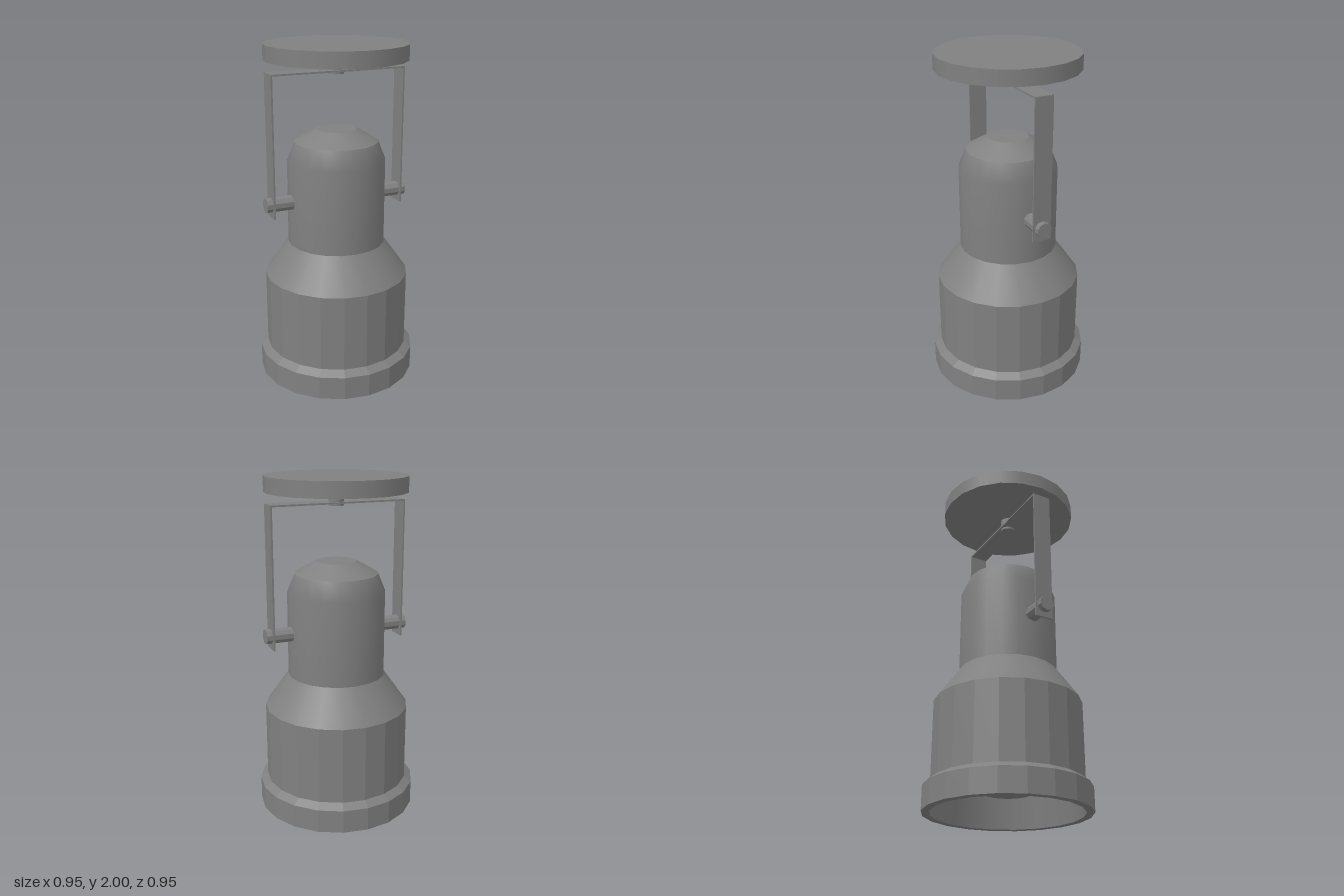
import * as THREE from 'three';

const SIDES = 20;
const flat = new THREE.MeshStandardMaterial({ color: 0x808080, flatShading: true });
const smooth = new THREE.MeshStandardMaterial({ color: 0x808080 });

export function createModel() {
  const model = new THREE.Group();
  model.name = 'ceilingSpotlight';

  const add = (name, geometry, material, x = 0, y = 0, z = 0) => {
    const mesh = new THREE.Mesh(geometry, material);
    mesh.name = name;
    mesh.position.set(x, y, z);
    model.add(mesh);
    return mesh;
  };
  // Profiles run upward on outer walls, so faces point outward
  const lathe = (points) =>
    new THREE.LatheGeometry(points.map(([r, y]) => new THREE.Vector2(r, y)), SIDES);

  // Faceted rim, collar and barrel, with smooth inner wall and shoulder
  add('shadeInnerWall', lathe([[0.4, 0.24], [0.43, 0]]), smooth);
  add('shade', lathe([
    [0.43, 0], [0.475, 0], [0.475, 0.14], [0.432, 0.172], [0.432, 0.63],
  ]), flat);
  add('shoulder', lathe([[0.432, 0.63], [0.29, 0.83]]), smooth);

  // Shallow lens bulging down inside the shade
  add('lens', lathe([[0, 0.10], [0.15, 0.12], [0.29, 0.17], [0.402, 0.235]]), flat);

  // Smooth lamp housing with a sloped cap and flat top
  add('housing', lathe([[0.29, 0.83], [0.29, 1.33], [0.245, 1.44]]), smooth);
  add('housingCap', lathe([[0.245, 1.44], [0.12, 1.512]]), smooth);
  add('housingTop', lathe([[0.12, 1.512], [0, 1.512]]), smooth);

  // Ceiling plate and the pin that carries the bracket
  add('ceilingPlate', new THREE.CylinderGeometry(0.413, 0.413, 0.09, SIDES), smooth, 0, 1.955);
  add('pivotPin', new THREE.CylinderGeometry(0.045, 0.045, 0.08, 12), smooth, 0, 1.87);

  // U-shaped strap bracket with a ten-sided bolt through each arm
  add('bracketTop', new THREE.BoxGeometry(0.82, 0.01, 0.11), flat, 0, 1.848);
  for (const [side, s] of [['left', 1], ['right', -1]]) {
    add(side + 'BracketArm', new THREE.BoxGeometry(0.01, 0.826, 0.11), flat, s * 0.407, 1.438);
    const bolt = add(side + 'Bolt',
      new THREE.CylinderGeometry(0.045, 0.045, 0.185, 10, 1, false, Math.PI / 2), flat, s * 0.3525, 1.1);
    bolt.rotation.z = Math.PI / 2;
  }
  return model;
}
